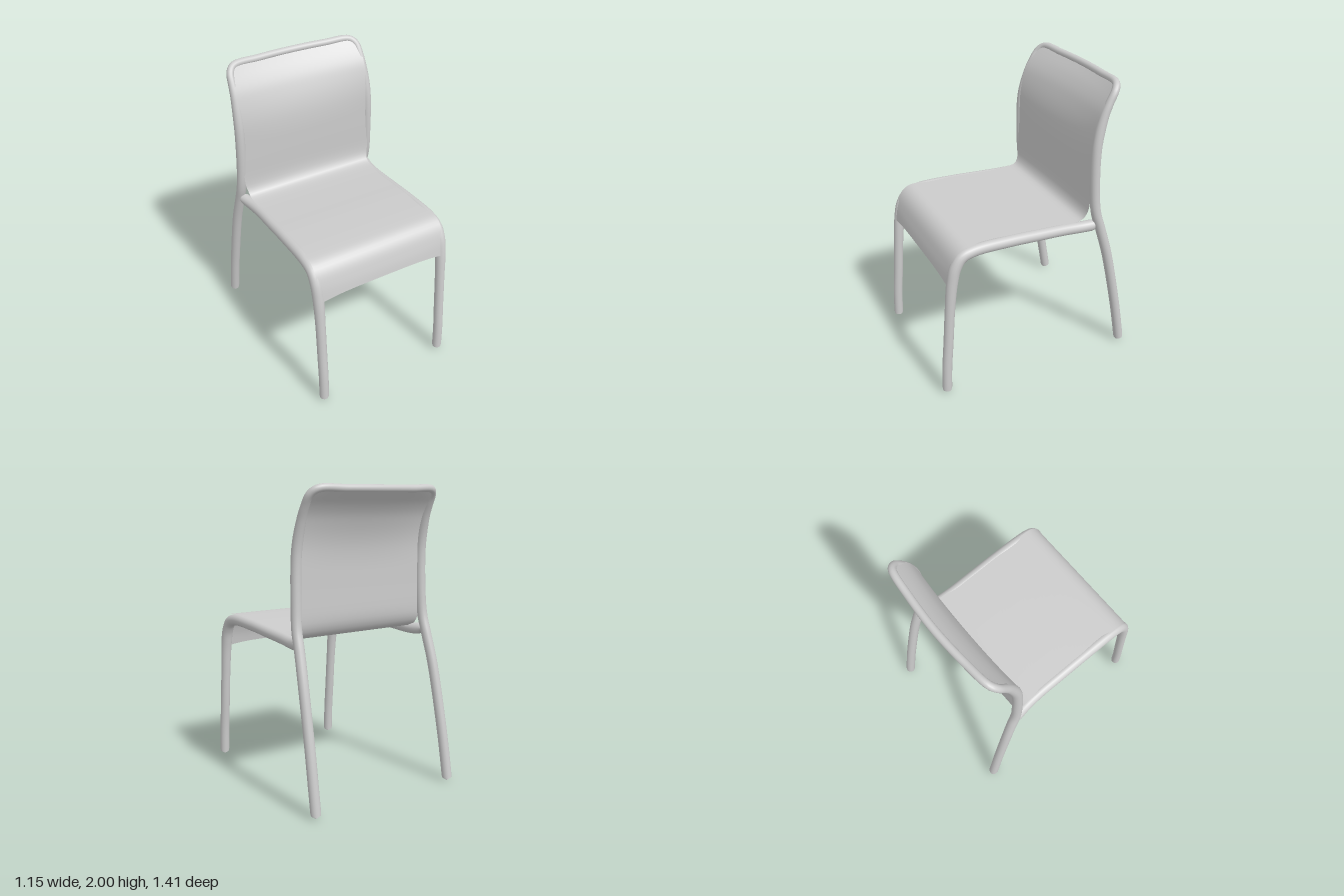
import * as THREE from 'three';
import { toCreasedNormals } from 'three/addons/utils/BufferGeometryUtils.js';

const material = new THREE.MeshStandardMaterial({ color: 0xcccccc });
const smooth = THREE.MathUtils.smoothstep;

// Smooth tube through points, radius given by height/position, with rounded closed ends
function frameTube(name, points, radiusAt, segments) {
  const curve = new THREE.CatmullRomCurve3(points.map(p => new THREE.Vector3(...p)));
  const sides = 16, length = curve.getLength();
  const geometry = new THREE.TubeGeometry(curve, segments, 1, sides, false);
  const pos = geometry.attributes.position;
  const v = new THREE.Vector3();
  for (let i = 0; i <= segments; i++) {
    const centre = curve.getPointAt(i / segments);
    const r = radiusAt(centre);
    const d = Math.min(1, Math.min(i, segments - i) / segments * length / r);
    const scale = r * Math.sqrt(1 - (1 - d) ** 2);
    for (let j = 0; j <= sides; j++) {
      const k = i * (sides + 1) + j;
      v.fromBufferAttribute(pos, k).sub(centre).multiplyScalar(scale).add(centre);
      pos.setXYZ(k, v.x, v.y, v.z);
    }
  }
  const mesh = new THREE.Mesh(geometry, material);
  mesh.name = name;
  return mesh;
}

// One continuous sheet: front apron, seat and bowed back
function shell() {
  const profile = new THREE.SplineCurve([
    [0.645, 0.845], [0.627, 0.95], [0.595, 1.035], [0.545, 1.085], [0.47, 1.1],
    [0.2, 1.095], [0, 1.082], [-0.2, 1.07], [-0.315, 1.073], [-0.355, 1.105],
    [-0.37, 1.18], [-0.37, 1.4], [-0.375, 1.63], [-0.41, 1.79], [-0.46, 1.89], [-0.53, 1.975],
  ].map(p => new THREE.Vector2(...p)));
  const steps = 90, columns = 28, thickness = 0.03;

  // Closed cross-section: outer face, then the inner face back again
  const outer = [], inner = [];
  for (let i = 0; i <= steps; i++) {
    const p = profile.getPointAt(i / steps), t = profile.getTangentAt(i / steps);
    outer.push(p);
    inner.unshift(new THREE.Vector2(p.x - t.y * thickness, p.y + t.x * thickness));
  }
  const ring = [...outer, ...inner], n = ring.length;

  const vertices = [], index = [];
  for (let i = 0; i <= columns; i++) {
    const u = i / columns * 2 - 1;
    for (const p of ring) {
      const back = p.x < -0.3 ? smooth(p.y, 1.05, 1.2) : 0;
      const half = 0.48 + 0.02 * back - 0.01 * back * smooth(p.y, 1.4, 1.8)
        - 0.035 * smooth(p.y, 1.9, 1.98);
      const bow = back * (1 - u * u) * (0.008 + 0.037 * smooth(p.y, 1.45, 2));
      const arch = p.x > 0.5 ? 0.027 * (1 - u ** 4) * (1 - smooth(p.y, 0.84, 0.98)) : 0;
      vertices.push(u * half, p.y + arch, p.x - bow);
    }
    if (i === columns) continue;
    for (let j = 0; j < n; j++) {
      const a = i * n + j, b = i * n + (j + 1) % n;
      index.push(a, a + n, b, a + n, b + n, b);
    }
  }
  const geometry = new THREE.BufferGeometry();
  geometry.setAttribute('position', new THREE.Float32BufferAttribute(vertices, 3));
  geometry.setIndex(index);
  const mesh = new THREE.Mesh(toCreasedNormals(geometry, 0.8), material);
  mesh.name = 'seatAndBackShell';
  return mesh;
}

export function createModel() {
  const chair = new THREE.Group();
  chair.name = 'chair';
  chair.add(shell());

  // Front legs bending over into the seat rails
  for (const side of [1, -1]) {
    const points = [
      [0.477, 0, 0.68], [0.476, 0.2, 0.672], [0.475, 0.4, 0.655], [0.474, 0.65, 0.635],
      [0.474, 0.86, 0.612], [0.474, 0.97, 0.585], [0.473, 1.035, 0.54], [0.473, 1.06, 0.46],
      [0.473, 1.058, 0.2], [0.473, 1.045, 0], [0.474, 1.032, -0.2], [0.485, 1.025, -0.33],
      [0.505, 1.03, -0.43],
    ].map(([x, y, z]) => [x * side, y, z]);
    chair.add(frameTube(side > 0 ? 'leftFrontLegAndRail' : 'rightFrontLegAndRail', points,
      c => 0.033 + 0.006 * smooth(c.y, 0.6, 1), 110));
  }

  // Rear legs, back posts and top edge as one loop
  const half = [
    [0.543, 0, -0.675], [0.541, 0.2, -0.64], [0.537, 0.4, -0.602], [0.527, 0.8, -0.513],
    [0.516, 1, -0.455], [0.511, 1.12, -0.418], [0.505, 1.26, -0.402], [0.497, 1.6, -0.4],
    [0.49, 1.78, -0.44], [0.487, 1.87, -0.478], [0.478, 1.94, -0.52], [0.44, 1.973, -0.55],
    [0.25, 1.975, -0.573],
  ];
  const mirrored = half.map(([x, y, z]) => [-x, y, z]).reverse();
  chair.add(frameTube('rearLegsAndBackFrame', [...half, [0, 1.975, -0.585], ...mirrored],
    c => 0.034 - 0.009 * smooth(c.y, 1.65, 1.97), 260));
  return chair;
}
